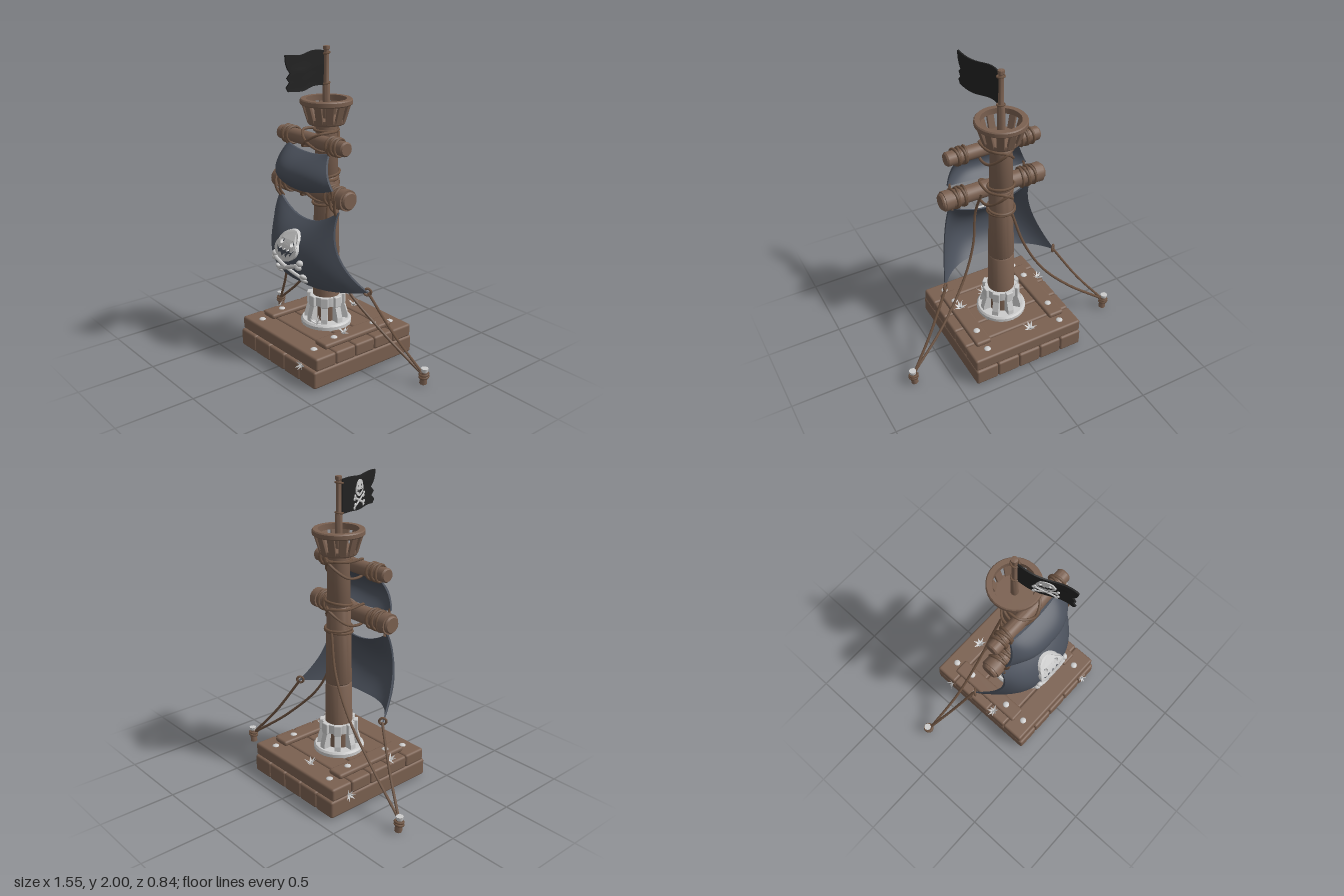
import * as THREE from 'three';
import { toCreasedNormals } from 'three/addons/utils/BufferGeometryUtils.js';
import { RoundedBoxGeometry } from 'three/addons/geometries/RoundedBoxGeometry.js';

const paint = (color, side = THREE.FrontSide) => new THREE.MeshStandardMaterial({ color, side });
const wood = paint(0x7a6050), ropeMat = paint(0x6e5442), grey = paint(0xcccccc);
const cloth = paint(0x4a505b, THREE.DoubleSide), black = paint(0x222222, THREE.DoubleSide);
const V = (x, y, z) => new THREE.Vector3(x, y, z);
const MZ = -0.02; // mast axis in z

// Quadratic through values at t = 0, 0.5 and 1
const quad = (a, m, b, t) => a + (4 * m - 3 * a - b) * t + (2 * a + 2 * b - 4 * m) * t * t;

export function createModel() {
  const root = new THREE.Group();

  function add(name, geo, mat, x = 0, y = 0, z = 0, parent = root) {
    const m = new THREE.Mesh(geo, mat);
    m.name = name;
    m.position.set(x, y, z);
    parent.add(m);
    return m;
  }
  const plank = (name, w, h, d, x, y, z) => add(name, new RoundedBoxGeometry(w, h, d, 2, 0.015), wood, x, y, z);
  const lathe = (pts, n = 24) => toCreasedNormals(
    new THREE.LatheGeometry(pts.map(([r, y]) => new THREE.Vector2(r, y)), n), 0.6);
  const rope = (name, pts, r = 0.009, closed = false) => add(name, new THREE.TubeGeometry(
    new THREE.CatmullRomCurve3(pts.map(p => V(...p)), closed), pts.length * 8, r, 6, closed), ropeMat);
  const move = (geo, rule) => {
    const p = geo.attributes.position;
    for (let i = 0; i < p.count; i++) p.setXYZ(i, ...rule(p.getX(i), p.getY(i), p.getZ(i)));
    geo.computeVertexNormals();
    return geo;
  };

  // Platform: lower planks run front to back, upper planks side to side
  for (let i = -2; i <= 2; i++) {
    plank('lowerPlank', 0.156, 0.115, 0.81, i * 0.157, 0.064, -0.015);
    plank('upperPlank', 0.785, 0.085, 0.156, 0, 0.164, -0.018 + i * 0.157);
  }
  for (const s of [-1, 1]) {
    plank('deckBatten', 0.11, 0.035, 0.55, s * 0.275, 0.22, -0.022);
    for (const [z, y] of [[-0.335, 0.207], [-0.185, 0.238], [0.14, 0.238], [0.3, 0.207]]) {
      const nail = add('nail', new THREE.SphereGeometry(0.023, 10, 5, 0, Math.PI * 2, 0, Math.PI / 2), grey, s * 0.273, y - 0.002, z);
      nail.scale.y = 0.5;
    }
  }

  // Mast with shallow joints, and the flag pole above it
  add('mast', lathe([[0.001, 0.2], [0.092, 0.2], [0.084, 0.67], [0.079, 0.678], [0.084, 0.686], [0.076, 1.19],
    [0.071, 1.198], [0.075, 1.206], [0.067, 1.54], [0.001, 1.54]]), wood, 0, 0, MZ);
  add('flagPole', lathe([[0.024, 1.53], [0.023, 1.76], [0.017, 1.78], [0.016, 1.97], [0.02, 1.975], [0.02, 1.995], [0.001, 2]], 12), wood, 0, 0, MZ);

  // Metal mast foot: flange, gussets and collar
  add('footFlange', lathe([[0.001, 0.2], [0.165, 0.2], [0.165, 0.228], [0.155, 0.24], [0.08, 0.24]], 28), grey, 0, 0, MZ);
  add('footCollar', lathe([[0.08, 0.345], [0.108, 0.345], [0.108, 0.405], [0.08, 0.405]]), grey, 0, 0, MZ);
  const gusset = new THREE.Shape([[0.07, 0.23], [0.143, 0.23], [0.14, 0.27], [0.118, 0.345], [0.07, 0.345]].map(p => new THREE.Vector2(...p)));
  const gussetGeo = new THREE.ExtrudeGeometry(gusset, { depth: 0.04, bevelEnabled: false }).translate(0, 0, -0.02);
  for (let i = 0; i < 8; i++) {
    const g = new THREE.Group();
    g.name = 'footBracket';
    g.position.z = MZ;
    g.rotation.y = i * Math.PI / 4;
    add('gusset', gussetGeo, grey, 0, 0, 0, g);
    add('collarBlock', new RoundedBoxGeometry(0.03, 0.072, 0.05, 1, 0.006), grey, 0.11, 0.376, 0, g);
    root.add(g);
  }

  // Lookout basket
  add('basketFloor', lathe([[0.001, 1.525], [0.11, 1.525], [0.118, 1.535], [0.12, 1.56], [0.001, 1.56]]), wood, 0, 0, MZ);
  add('basketRim', lathe([[0.125, 1.645], [0.155, 1.645], [0.162, 1.652], [0.162, 1.675], [0.156, 1.682], [0.125, 1.682], [0.125, 1.645]], 28), wood, 0, 0, MZ);
  for (let i = 0; i < 12; i++) {
    const g = new THREE.Group();
    g.name = 'basketSlat';
    g.position.z = MZ;
    g.rotation.y = i * Math.PI / 6;
    add('slat', new RoundedBoxGeometry(0.018, 0.125, 0.046, 1, 0.004), wood, 0.127, 1.6, 0, g).rotation.z = -0.3;
    root.add(g);
  }

  // Yards with end caps, rope coils and cross lashings to the mast
  function yard(y, z, r, half, coils, endCap) {
    add('yard', lathe([[0.001, -half], [r - 0.008, -half], [r, -half + 0.01], [r, half - 0.01], [r - 0.008, half], [0.001, half]], 18)
      .rotateZ(Math.PI / 2), wood, 0, y, z);
    for (const s of [-1, 1]) {
      if (endCap) add('yardBand', new THREE.CylinderGeometry(r + 0.01, r + 0.01, 0.05, 18).rotateZ(Math.PI / 2), wood, s * (half - 0.045), y, z);
      coils.forEach((x, i) => {
        const c = add('ropeCoil', new THREE.TorusGeometry(r + 0.007, 0.009, 6, 20), ropeMat, s * x, y, z);
        c.rotation.y = Math.PI / 2 + (i % 2 ? 0.16 : -0.12);
      });
      rope('crossLashing', [[0, y + 0.045, MZ - 0.085], [s * 0.083, y + 0.05, MZ], [s * 0.09, y + r + 0.008, z],
        [s * 0.055, y + r * 0.75, z + r * 0.8], [0, y, z + r + 0.008], [-s * 0.055, y - r * 0.75, z + r * 0.8],
        [-s * 0.09, y - r - 0.008, z], [-s * 0.083, y - 0.05, MZ]], 0.009, true);
    }
  }
  yard(1.437, 0.087, 0.045, 0.32, [0.19, 0.212, 0.234, 0.256], false);
  yard(1.135, 0.093, 0.055, 0.363, [0.2, 0.224, 0.25, 0.275], true);
  for (const [y, r, tilt] of [[1.49, 0.075, 0], [1.215, 0.083, 0.2], [1.05, 0.085, -0.05], [1.03, 0.086, 0.1]])
    add('mastLoop', new THREE.TorusGeometry(r, 0.009, 6, 24).rotateX(Math.PI / 2 + tilt), ropeMat, 0, y, MZ);

  // Sails: a thin slab bent over a billowing surface
  const mainWidth = v => 0.29 + 0.12 * (1 - v) ** 2;
  const billow = (u, edge, mid) => mid + (edge - mid) * Math.abs(u) ** 3;
  const mainZ = (u, v) => billow(u, quad(-0.02, 0.15, 0.12, v), quad(0.19, 0.29, 0.14, v));
  const mainSail = (u, v) => [u * mainWidth(v), 0.54 + v * (0.405 + 0.11 * u * u), mainZ(u, v)];
  const topSail = (u, v) => {
    const low = 1.145 + 0.045 * u * u, high = 1.37 + 0.025 * u * u;
    return [u * (0.28 - 0.08 * v), low + (high - low) * v,
      billow(u, quad(0.16, 0.17, 0.12, v), quad(0.2, 0.26, 0.13, v))];
  };
  for (const [name, surface] of [['mainSail', mainSail], ['topSail', topSail]])
    add(name, move(new THREE.BoxGeometry(2, 1, 0.014, 28, 18, 1), (a, b, c) => {
      const [x, y, z] = surface(a, b + 0.5);
      return [x, y, z + c];
    }), cloth);

  // Skull and crossbones emblem, bent to follow whatever cloth it sits on
  const skull = new THREE.Shape();
  skull.moveTo(-0.075, -0.06);
  skull.bezierCurveTo(-0.12, -0.03, -0.11, 0.01, -0.09, 0.03);
  skull.bezierCurveTo(-0.08, 0.12, 0.08, 0.12, 0.09, 0.03);
  skull.bezierCurveTo(0.11, 0.01, 0.12, -0.03, 0.075, -0.06);
  skull.quadraticCurveTo(0, -0.115, -0.075, -0.06);
  for (const s of [-1, 1]) skull.holes.push(new THREE.Path().absellipse(s * 0.05, 0.028, 0.017, 0.017, 0, Math.PI * 2));
  skull.holes.push(new THREE.Path([[-0.085, 0], [-0.055, -0.02], [-0.04, 0], [-0.018, -0.022], [0, -0.004], [0.018, -0.022], [0.04, 0],
    [0.055, -0.02], [0.085, 0], [0.06, -0.042], [0.035, -0.035], [0.02, -0.058], [0, -0.04], [-0.02, -0.058], [-0.035, -0.035], [-0.06, -0.042]]
    .map(p => new THREE.Vector2(...p))));
  function emblem(bend) {
    const skullGeo = new THREE.ExtrudeGeometry(skull, { depth: 0.025, bevelEnabled: false, curveSegments: 10 });
    add('skullEmblem', move(skullGeo, (x, y, z) => bend(x, y + 0.045, z)), grey);
    for (const s of [-1, 1]) {
      const bone = new THREE.CylinderGeometry(0.014, 0.014, 0.26, 8, 8).rotateZ(s * 1.2);
      add('crossBone', move(bone, (x, y, z) => bend(x, y - 0.09, z + 0.012)), grey);
      for (const e of [-1, 1]) for (const k of [-1, 1]) {
        const knob = new THREE.SphereGeometry(0.021, 8, 6).translate(e * 0.125 + k * 0.008, s * e * -0.048 + k * 0.016, 0.01);
        add('boneKnob', move(knob, (x, y, z) => bend(x, y - 0.09, z)), grey);
      }
    }
  }
  emblem((x, y, z) => {
    const Y = y + 0.75, v = (Y - 0.54) / (0.405 + 0.85 * x * x);
    return [x, Y, mainZ(x / mainWidth(v), v) + 0.005 + z];
  });

  // Flag: wavy cloth with a ragged end, tied to the pole
  const flagX = s => 0.08 * s - 0.014 * Math.sin(s * 6);
  const ragged = [0.325, 0.34, 0.315, 0.335, 0.31, 0.33, 0.34, 0.345, 0.345];
  add('flag', move(new THREE.BoxGeometry(0.01, 1, 1, 1, 8, 16), (a, b, c) => {
    const s = c + 0.5, len = ragged[Math.round((b + 0.5) * 8)];
    return [flagX(s) + a, 1.867 + b * 0.21 + 0.006 * Math.sin(s * 8), 0.005 + s * len];
  }), black);
  emblem((x, y, z) => {
    const s = 0.5 + x * 1.4;
    return [flagX(s) - 0.004 - z * 0.3, 1.867 + y * 0.55, 0.005 + s * 0.34];
  });
  for (const y of [1.775, 1.955])
    add('flagTie', new THREE.TorusGeometry(0.023, 0.006, 6, 14).rotateX(Math.PI / 2 + 0.15), ropeMat, 0, y, MZ + 0.004);

  // Sail ties, guy ropes and ground stakes
  for (const s of [-1, 1]) {
    rope('mainSailTie', [[s * 0.275, 1.03, 0.13], [s * 0.29, 1.08, 0.155], [s * 0.3, 1.14, 0.16]]);
    rope('mainSailTie', [[s * 0.275, 1.03, 0.11], [s * 0.255, 1.08, 0.152], [s * 0.25, 1.14, 0.158]]);
    rope('topSailTie', [[s * 0.2, 1.38, 0.12], [s * 0.205, 1.41, 0.137], [s * 0.21, 1.44, 0.14]]);
    rope('topSailTie', [[s * 0.265, 1.2, 0.165], [s * 0.265, 1.17, 0.155], [s * 0.265, 1.13, 0.155]]);
    add('sailRing', new THREE.TorusGeometry(0.022, 0.008, 6, 14).rotateY(0.8), ropeMat, s * 0.405, 0.545, -0.015);
    rope('cornerGuy', [[s * 0.405, 0.54, -0.02], [s * 0.56, 0.29, -0.1], [s * 0.735, 0.065, -0.185]]);
    const stake = add('stake', new THREE.CylinderGeometry(0.02, 0.024, 0.085, 8), wood, s * 0.738, 0.043, -0.19);
    stake.rotation.z = -s * 0.1;
    add('stakeHead', new THREE.CylinderGeometry(0.024, 0.02, 0.025, 8), grey, s * 0.743, 0.095, -0.19);
    for (const y of [0.05, 0.068])
      add('stakeRope', new THREE.TorusGeometry(0.026, 0.008, 6, 12).rotateX(Math.PI / 2 + 0.2), ropeMat, s * 0.739, y, -0.19);
  }
  rope('mastGuy', [[-0.03, 1.04, -0.105], [-0.1, 0.8, -0.135], [-0.24, 0.54, -0.145], [-0.46, 0.29, -0.15], [-0.735, 0.065, -0.18]]);
  rope('yardGuy', [[0.11, 1.15, 0.03], [0.13, 0.98, 0.08], [0.16, 0.75, 0.06], [0.25, 0.53, 0.02], [0.46, 0.29, -0.08], [0.735, 0.065, -0.18]]);

  // Small leaf tufts: flattened cones fanned around a direction
  function tuft(x, y, z, dir, size) {
    const g = new THREE.Group();
    g.name = 'leafTuft';
    g.position.set(x, y, z);
    g.quaternion.setFromUnitVectors(V(0, 1, 0), V(...dir).normalize());
    for (let i = 0; i < 7; i++) {
      const leaf = new THREE.ConeGeometry(size * 0.24, size, 4).scale(1, 1, 0.35).translate(0, size / 2, 0)
        .rotateX(0.75 + (i % 3) * 0.25).rotateY(i * 0.9);
      add('leaf', toCreasedNormals(leaf, 0.3), grey, 0, 0, 0, g);
    }
    root.add(g);
  }
  tuft(-0.06, 0.207, -0.31, [0, 1, 0], 0.055);
  tuft(0.06, 0.24, 0.11, [0, 1, 0.2], 0.06);
  tuft(0.27, 0.238, 0.06, [0, 1, 0], 0.055);
  tuft(-0.36, 0.207, 0.1, [-0.4, 1, 0], 0.05);
  tuft(0.26, 0.12, 0.385, [0, 0.2, 1], 0.045);
  tuft(-0.39, 0.12, -0.28, [-1, 0.2, 0], 0.045);
  return root;
}
